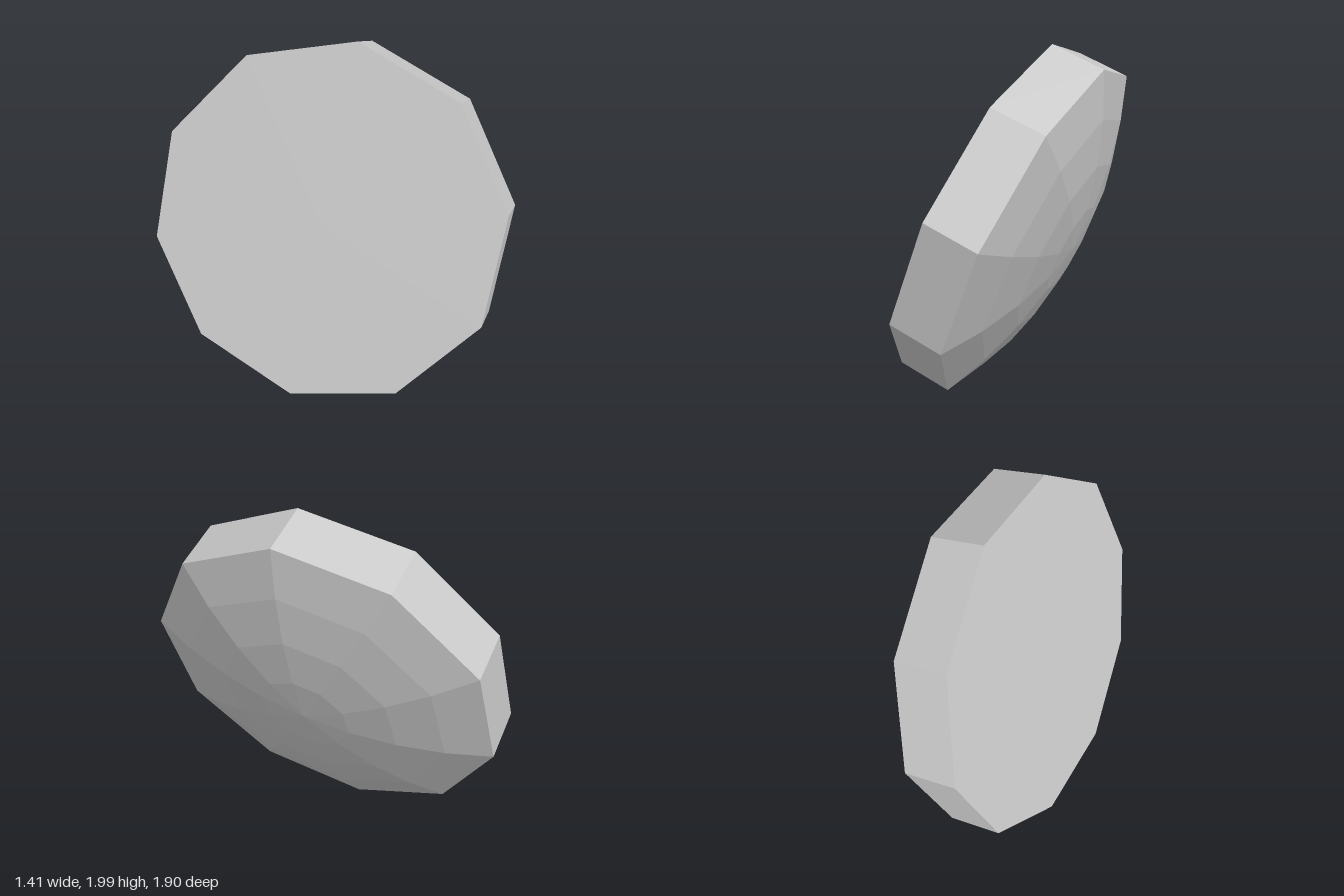
import * as THREE from 'three';

const SIDES = 10;
const RADIUS = 1.015;
const THICKNESS = 0.304;
const DOME_HEIGHT = 0.22;
const DOME_RINGS = 4;

export function createModel() {
  const group = new THREE.Group();
  group.name = 'domedDisc';
  const stoneGrey = new THREE.MeshStandardMaterial({ color: 0xc8c8c8, flatShading: true });
  stoneGrey.name = 'stoneGrey';

  // Ten-sided surface turned around the disc axis, profile given as [radius, height]
  const addTurned = (name, profile) => {
    const points = profile.map(([r, h]) => new THREE.Vector2(r, h));
    const mesh = new THREE.Mesh(new THREE.LatheGeometry(points, SIDES), stoneGrey);
    mesh.name = name;
    group.add(mesh);
  };

  addTurned('flatFace', [[0, 0], [RADIUS, 0]]);
  addTurned('rim', [[RADIUS, 0], [RADIUS, THICKNESS]]);

  // Shallow spherical cap in equal angular steps
  const sphere = (RADIUS ** 2 + DOME_HEIGHT ** 2) / (2 * DOME_HEIGHT);
  const capAngle = Math.asin(RADIUS / sphere);
  const dome = [];
  for (let i = DOME_RINGS; i >= 0; i--) {
    const a = (capAngle * i) / DOME_RINGS;
    dome.push([sphere * Math.sin(a), THICKNESS + sphere * (Math.cos(a) - Math.cos(capAngle))]);
  }
  addTurned('dome', dome);

  // Tilt: local y is the disc axis, local z points at the topmost corner
  const axis = new THREE.Vector3(0.797, -0.371, -0.477).normalize();
  const corner = new THREE.Vector3(0.36, 0.94, -0.13);
  const side = new THREE.Vector3().crossVectors(axis, corner).normalize();
  corner.crossVectors(side, axis).normalize();
  group.quaternion.setFromRotationMatrix(new THREE.Matrix4().makeBasis(side, axis, corner));
  group.position.set(-0.12, 1.06, 0.07);

  const model = new THREE.Group();
  model.name = 'model';
  model.add(group);
  return model;
}
